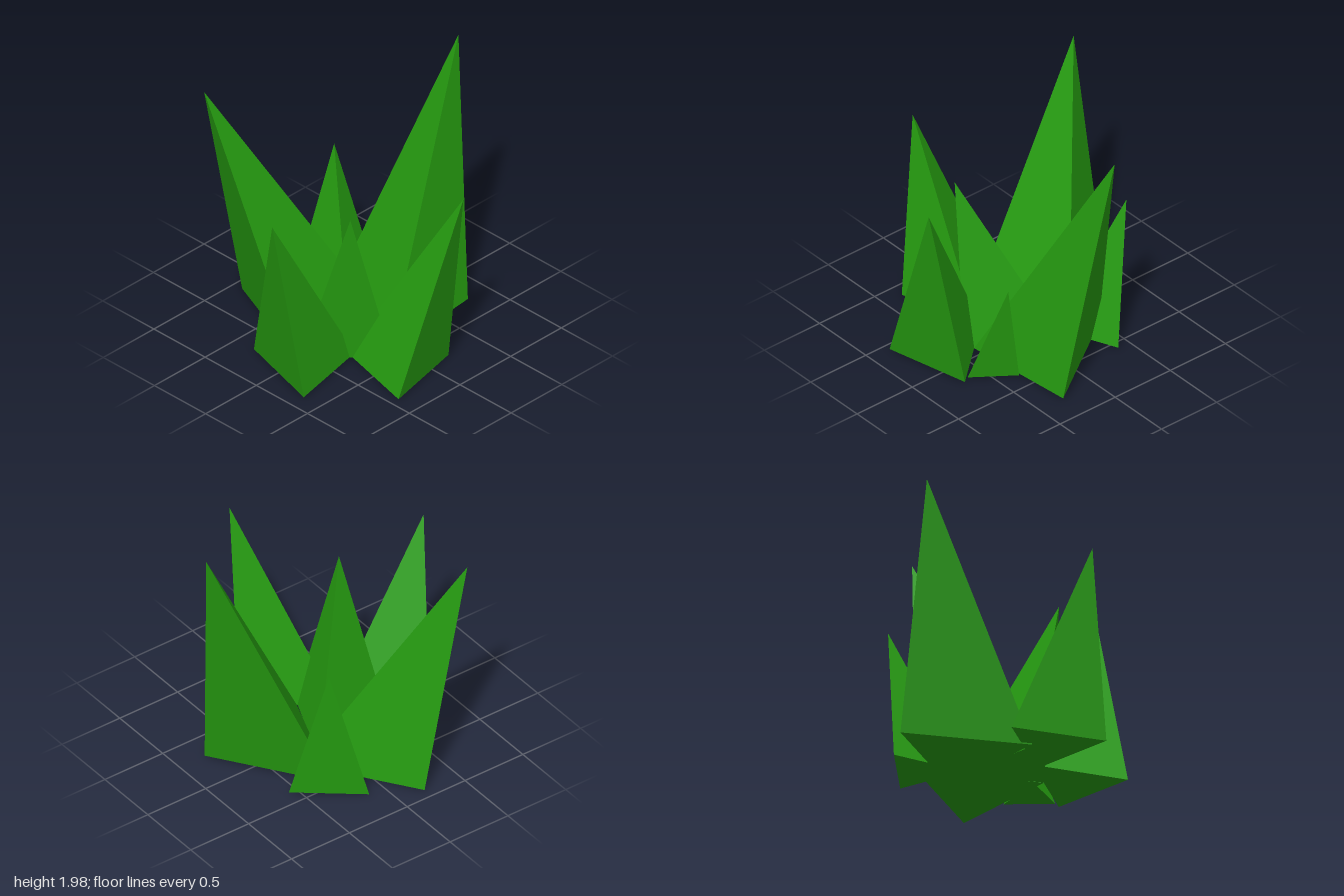
import * as THREE from 'three';

// Each blade: leaning tip [x, y, z] and three ground corners [x, z]
const BLADES = {
  tallLeftBlade: { tip: [0.995, 1.98, 0], base: [[0.79, 0.295], [-0.07, 0.38], [0.26, -0.475]] },
  tallBackBlade: { tip: [-0.565, 1.8, -0.94], base: [[-0.56, -0.05], [-0.21, -0.92], [0.31, -0.165]], ground: 0 },
  frontBlade: { tip: [0.1, 1.47, 0.935], base: [[-0.44, 0.835], [0.2, 0.69], [-0.27, 0.15]] },
  rightBlade: { tip: [-1, 1.39, 0.155], base: [[-0.885, 0.35], [-0.7, -0.32], [-0.24, 0.21]] },
  innerBlade: { tip: [-0.375, 1.22, 0.3], base: [[-0.54, -0.02], [-0.1, 0.44], [0.16, -0.18]] },
  backLeftBlade: { tip: [0.39, 1.07, -0.615], base: [[0.57, -0.39], [0.135, -0.74], [0.085, -0.18]] },
  smallFrontBlade: { tip: [0.43, 0.81, 0.49], base: [[0.38, 0.35], [0.17, 0.64], [-0.03, 0.32]] },
};

// Closed three-sided spike with flat faces
function bladeGeometry({ tip, base, ground = 0.01 }) {
  const [a, b, c] = base.map(([x, z]) => new THREE.Vector3(x, ground, z));
  const t = new THREE.Vector3(...tip);
  // order the ground corners so that the underside faces down
  const up = b.clone().sub(a).cross(c.clone().sub(a)).y > 0;
  const [p, q, r] = up ? [a, b, c] : [a, c, b];
  const geometry = new THREE.BufferGeometry().setFromPoints([p, q, t, q, r, t, r, p, t, p, r, q]);
  geometry.computeVertexNormals();
  return geometry;
}

export function createModel() {
  const group = new THREE.Group();
  group.name = 'grassTuft';
  const green = new THREE.MeshStandardMaterial({ color: 0x259a10, flatShading: true });
  for (const [name, blade] of Object.entries(BLADES)) {
    const mesh = new THREE.Mesh(bladeGeometry(blade), green);
    mesh.name = name;
    group.add(mesh);
  }
  return group;
}
